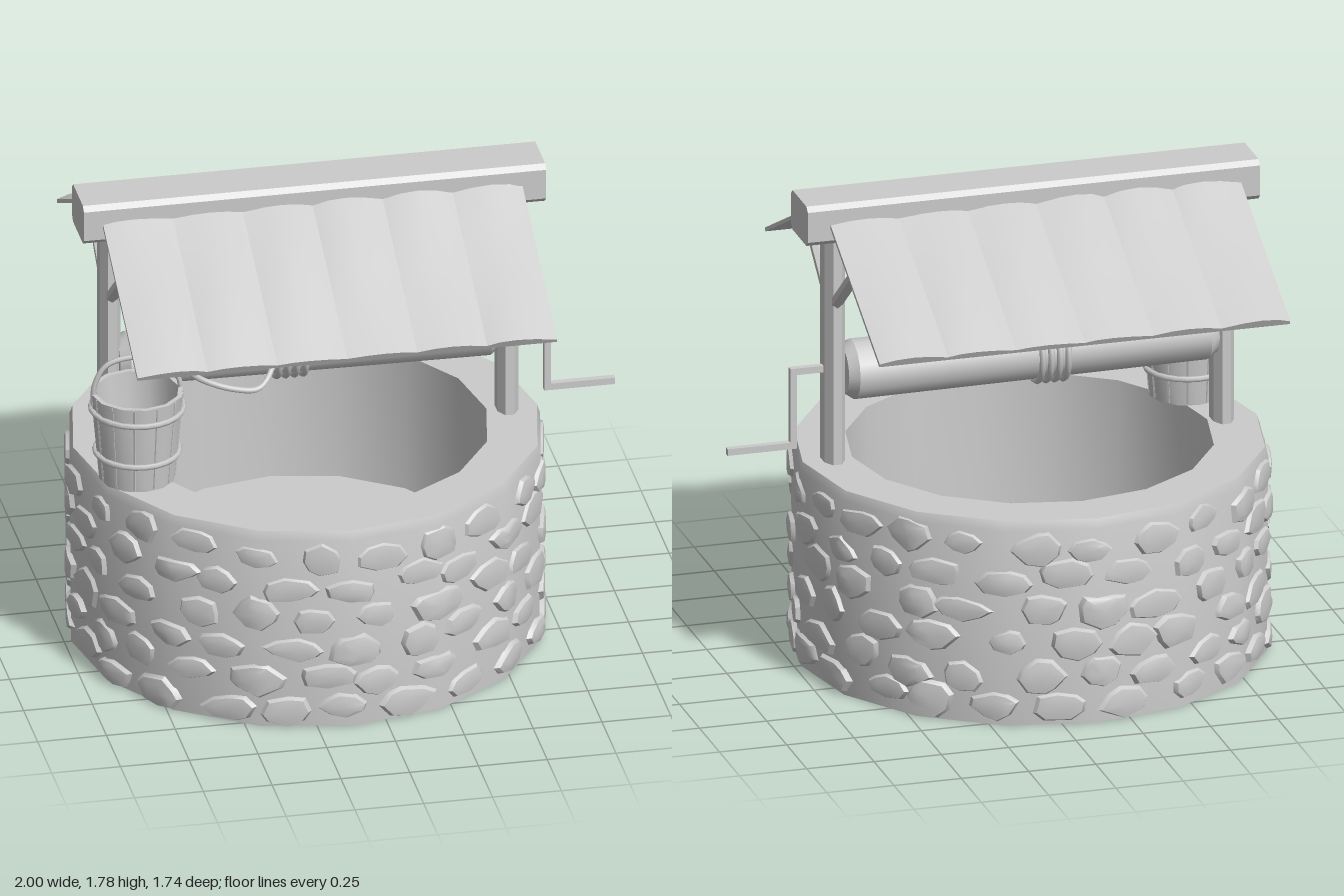
import * as THREE from 'three';
import { toCreasedNormals, mergeGeometries } from 'three/addons/utils/BufferGeometryUtils.js';

const CX = -0.125;            // centre of the well ring
const SIDES = 16, R = 0.855;  // stone wall polygon
const grey = new THREE.MeshStandardMaterial({ color: 0xcccccc });
const greyOpen = new THREE.MeshStandardMaterial({ color: 0xcccccc, side: THREE.DoubleSide });
const V = (x, y, z) => new THREE.Vector3(x, y, z);

let seed = 7;
const rand = (a = 0, b = 1) => {
  seed = (seed * 16807) % 2147483647;
  return a + (b - a) * seed / 2147483647;
};

function add(parent, name, geometry, x = 0, y = 0, z = 0, material = grey) {
  const mesh = new THREE.Mesh(geometry, material);
  mesh.name = name;
  mesh.position.set(x, y, z);
  parent.add(mesh);
  return mesh;
}

const lathe = (pts, sides) =>
  toCreasedNormals(new THREE.LatheGeometry(pts.map(p => new THREE.Vector2(...p)), sides), 0.6);

const tube = (pts, r, segments = 32) =>
  new THREE.TubeGeometry(new THREE.CatmullRomCurve3(pts), segments, r, 6);

// Round bar between two points
function bar(parent, name, a, b, r, sides = 8) {
  const geo = toCreasedNormals(new THREE.CylinderGeometry(r, r, a.distanceTo(b), sides), 0.9);
  const mesh = add(parent, name, geo);
  mesh.position.copy(a).lerp(b, 0.5);
  mesh.quaternion.setFromUnitVectors(V(0, 1, 0), b.clone().sub(a).normalize());
  return mesh;
}

// Irregular raised stones that follow the faceted wall
function stonesGeometry() {
  const pos = [], index = [], step = Math.PI * 2 / SIDES;
  const wallRadius = t => {
    const local = ((t % step) + step) % step - step / 2;
    return R * Math.cos(step / 2) / Math.cos(local);
  };
  const put = (t, y, lift) => {
    const r = wallRadius(t) + lift;
    pos.push(r * Math.sin(t), Math.min(0.745, Math.max(0.003, y)), r * Math.cos(t));
  };
  const rows = 6, perRow = 23, corners = 8;
  for (let row = 0; row < rows; row++) {
    for (let k = 0; k < perRow; k++) {
      const t = (k + (row % 2) / 2 + rand(-0.16, 0.16)) / perRow * Math.PI * 2;
      const y = 0.065 + row * 0.122 + rand(-0.02, 0.02);
      const w = rand(0.075, 0.115), h = rand(0.045, 0.068), tilt = rand(-0.35, 0.35);
      const lift = rand(0.012, 0.02);
      // plain patch on the crank side
      if (Math.abs(t - 1.47) < 0.14 && row > 1 && row < 5) continue;
      const outline = Array.from({ length: corners }, (_, i) => {
        const a = (i + rand(-0.25, 0.25)) / corners * Math.PI * 2, s = rand(0.85, 1.15);
        const u = Math.cos(a) * w * s, v = Math.sin(a) * h * s;
        return [u - v * tilt, v + u * tilt * 0.5];
      });
      const base = pos.length / 3;
      for (const [scale, up] of [[1, -0.004], [0.86, lift * 0.75], [0.5, lift]])
        for (const [u, v] of outline) put(t + u * scale / R, y + v * scale, up);
      put(t, y, lift);
      for (let i = 0; i < corners; i++) {
        const j = (i + 1) % corners;
        for (const o of [base, base + corners])
          index.push(o + i, o + j, o + corners + j, o + i, o + corners + j, o + corners + i);
        const top = base + 2 * corners;
        index.push(top + i, top + j, top + corners);
      }
    }
  }
  const geo = new THREE.BufferGeometry();
  geo.setAttribute('position', new THREE.Float32BufferAttribute(pos, 3));
  geo.setIndex(index);
  return toCreasedNormals(geo, 0.7);
}

// One sloping side of the roof, made of slightly domed boards
function roofSide() {
  const boards = 6, x0 = -0.88, x1 = 0.645, w = (x1 - x0) / boards;
  const length = Math.hypot(0.66, 0.33);
  const parts = [];
  for (let i = 0; i < boards; i++) {
    const g = new THREE.BoxGeometry(w, 0.022, length, 4, 1, 4);
    const p = g.attributes.position, lean = rand(-0.05, 0.05);
    for (let k = 0; k < p.count; k++) {
      const u = p.getX(k) / w * 2, v = p.getZ(k) / length;
      if (p.getY(k) > 0) p.setY(k, 0.003 + 0.014 * (1 - u * u) * (1 + Math.sin(v * 5 + i) * 0.4));
      if (Math.abs(u) < 0.9) p.setX(k, p.getX(k) + lean * v);
    }
    g.translate(x0 + w * (i + 0.5), 0, 0);
    parts.push(toCreasedNormals(g, 0.8));
  }
  const geo = mergeGeometries(parts);
  geo.rotateX(Math.atan2(0.33, 0.66));
  geo.translate(0, 1.561, 0.387);
  return geo;
}

function makeBucket() {
  const bucket = new THREE.Group();
  bucket.name = 'bucket';
  bucket.position.set(-0.79, 0.775, 0.27);
  add(bucket, 'bucketStaves', lathe(
    [[0, 0.005], [0.138, 0.005], [0.168, 0.345], [0.15, 0.345], [0.125, 0.04], [0, 0.04]], 12));
  // joints between staves
  for (let i = 0; i < 12; i++) {
    const a = (i + 0.5) / 12 * Math.PI * 2, s = Math.sin(a), c = Math.cos(a);
    bar(bucket, 'staveJoint', V(0.133 * s, 0.01, 0.133 * c), V(0.161 * s, 0.34, 0.161 * c), 0.005, 4);
  }
  for (const [y, r] of [[0.11, 0.15], [0.28, 0.165]])
    add(bucket, 'bucketHoop', new THREE.TorusGeometry(r, 0.011, 6, 24).rotateX(Math.PI / 2), 0, y, 0);
  add(bucket, 'bucketHandle', tube([V(-0.16, 0.3, 0), V(-0.155, 0.38, 0), V(-0.11, 0.455, 0),
    V(0, 0.478, 0), V(0.1, 0.455, 0), V(0.15, 0.38, 0), V(0.16, 0.3, 0)], 0.01));
  return bucket;
}

export function createModel() {
  const well = new THREE.Group();
  well.name = 'well';

  // Stone ring, open underneath, with the water inside
  add(well, 'wall', lathe([[R - 0.005, 0], [R, 0.74], [R - 0.012, 0.775], [0.66, 0.775], [0.64, 0]], SIDES),
    CX, 0, 0, greyOpen);
  add(well, 'wallStones', stonesGeometry(), CX);
  add(well, 'water', new THREE.CircleGeometry(0.65, SIDES).rotateX(-Math.PI / 2), CX, 0.25, 0, greyOpen);

  // Posts with braces to the roof
  for (const x of [-0.838, 0.607]) {
    const post = toCreasedNormals(new THREE.CylinderGeometry(1, 1, 0.93, 8).rotateY(Math.PI / 8), 0.5);
    add(well, 'post', post.scale(0.041, 1, 0.07), x, 1.205, 0);
    for (const s of [1, -1])
      bar(well, 'brace', V(x, 1.38, 0.04 * s), V(x, 1.595, 0.305 * s), 0.023, 6);
  }

  // Ridge beam with worn corners
  const c = 0.018, hw = 0.105, hh = 0.075;
  const section = new THREE.Shape([[-hw + c, -hh], [hw - c, -hh], [hw, -hh + c], [hw, hh - c],
    [hw - c, hh], [-hw + c, hh], [-hw, hh - c], [-hw, -hh + c]].map(p => new THREE.Vector2(...p)));
  const beam = new THREE.ExtrudeGeometry(section, { depth: 1.68, bevelEnabled: false, steps: 1 });
  add(well, 'ridgeBeam', beam.rotateY(Math.PI / 2), -0.95, 1.705, 0);

  // Roof slopes
  add(well, 'roofSlope', roofSide());
  add(well, 'roofSlope', roofSide().rotateY(Math.PI).translate(-0.235, 0, 0));

  // Windlass roller with rounded ends and rope coils
  const roller = lathe([[0, -0.69], [0.075, -0.69], [0.1, -0.655], [0.11, 0.655], [0.085, 0.69], [0, 0.69]], 14);
  add(well, 'roller', roller.rotateZ(-Math.PI / 2), -0.12, 1.11, 0);
  for (let i = 0; i < 4; i++)
    add(well, 'ropeCoil', new THREE.TorusGeometry(0.113, 0.012, 6, 20).rotateY(Math.PI / 2),
      -0.238 + i * 0.032, 1.11, 0);
  add(well, 'rope', tube([V(-0.79, 1.253, 0.27), V(-0.7, 1.235, 0.24), V(-0.62, 1.17, 0.215),
    V(-0.54, 1.1, 0.2), V(-0.42, 1.05, 0.2), V(-0.33, 1.04, 0.19), V(-0.27, 1.1, 0.14),
    V(-0.25, 1.19, 0.08), V(-0.238, 1.223, 0)], 0.011, 48));

  // Crank
  const crank = new THREE.Group();
  crank.name = 'crank';
  well.add(crank);
  add(crank, 'crankAxle', new THREE.BoxGeometry(0.21, 0.025, 0.025), 0.66, 1.125, 0);
  add(crank, 'crankArm', new THREE.BoxGeometry(0.025, 0.305, 0.025), 0.755, 0.985, 0);
  add(crank, 'crankGrip', new THREE.BoxGeometry(0.25, 0.025, 0.025), 0.875, 0.845, 0);

  well.add(makeBucket());
  return well;
}
